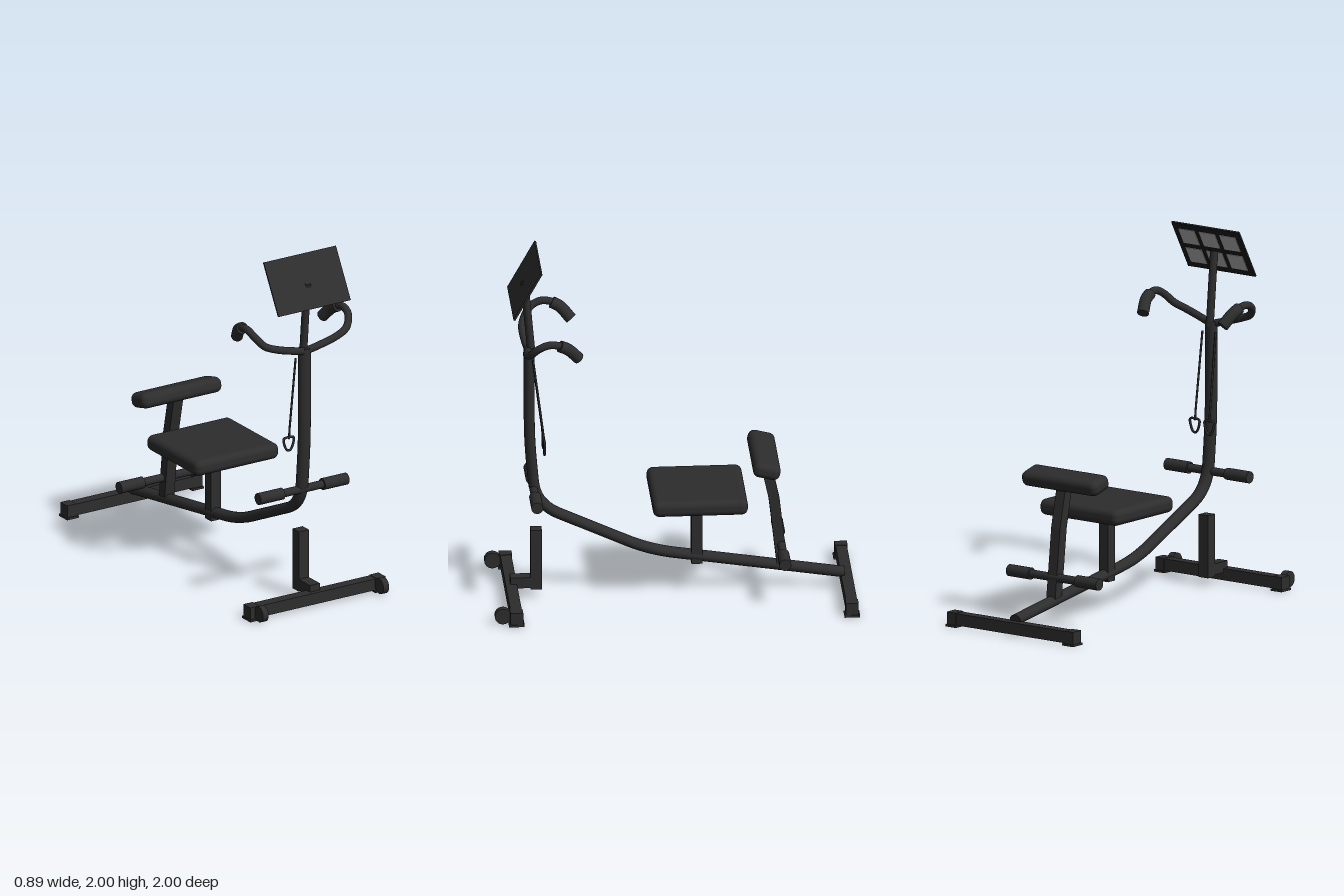
import * as THREE from 'three';
import { RoundedBoxGeometry } from 'three/addons/geometries/RoundedBoxGeometry.js';

const frameMat = new THREE.MeshStandardMaterial({ color: 0x2d2d2d });
frameMat.name = 'charcoal';
const blackMat = new THREE.MeshStandardMaterial({ color: 0x181818 });
blackMat.name = 'black';
const tileMat = new THREE.MeshStandardMaterial({ color: 0xb0b0b0 });
tileMat.name = 'light grey';

const V = (x, y, z) => new THREE.Vector3(x, y, z);

export function createModel() {
  const root = new THREE.Group();
  root.name = 'exerciseMachine';

  const add = (name, geo, x = 0, y = 0, z = 0, mat = frameMat, parent = root) => {
    const m = new THREE.Mesh(geo, mat);
    m.name = name;
    m.position.set(x, y, z);
    parent.add(m);
    return m;
  };
  const box = (name, w, h, d, x, y, z, mat, parent) =>
    add(name, new THREE.BoxGeometry(w, h, d), x, y, z, mat, parent);

  // straight runs joined by smooth bends
  const bentPath = (pts, bend) => {
    const path = new THREE.CurvePath();
    let from = pts[0];
    for (let i = 1; i < pts.length - 1; i++) {
      const p = pts[i];
      const cut = (q) => p.clone().add(q.clone().sub(p).setLength(Math.min(bend, p.distanceTo(q) * 0.48)));
      const a = cut(pts[i - 1]), b = cut(pts[i + 1]);
      path.add(new THREE.LineCurve3(from, a));
      path.add(new THREE.QuadraticBezierCurve3(a, p, b));
      from = b;
    }
    path.add(new THREE.LineCurve3(from, pts[pts.length - 1]));
    return path;
  };

  // capped tube along a path
  const tube = (name, path, r, segs = 60, sides = 16) => {
    const g = new THREE.Group();
    g.name = name;
    root.add(g);
    add(name + 'Wall', new THREE.TubeGeometry(path, segs, r, sides), 0, 0, 0, frameMat, g);
    for (const t of [0, 1]) {
      const p = path.getPointAt(t);
      const dir = path.getTangentAt(t).multiplyScalar(t ? 1 : -1);
      const cap = add(name + 'Cap', new THREE.CircleGeometry(r, sides), p.x, p.y, p.z, frameMat, g);
      cap.quaternion.setFromUnitVectors(V(0, 0, 1), dir);
    }
    return g;
  };

  // main frame: oval tube sweeping from the column down to the rear foot
  const spine = tube('mainFrame', bentPath([
    V(0, 1.47, 0.78), V(0, 0.93, 0.78), V(0, 0.54, 0.745), V(0, 0.25, 0.12), V(0, 0.085, -0.945),
  ], 0.14), 0.03, 120);
  spine.scale.x = 1.23;

  // upper mast
  tube('mast', new THREE.LineCurve3(V(0, 1.44, 0.768), V(0, 1.855, 0.806)), 0.022, 1);

  // tilted display board with a grid of light tiles on the rider's side
  const board = new THREE.Group();
  board.name = 'displayBoard';
  board.position.set(0, 1.866, 0.805);
  board.rotation.x = -0.507;
  root.add(board);
  box('boardPanel', 0.47, 0.309, 0.008, 0, 0, 0, frameMat, board);
  box('boardBack', 0.468, 0.307, 0.003, 0, 0, -0.005, blackMat, board);
  for (const col of [-1, 0, 1])
    for (const row of [-1, 1])
      box('boardTile', 0.112, 0.1, 0.003, col * 0.142, row * 0.066, -0.0075, tileMat, board);
  box('mountCap', 0.035, 0.012, 0.006, 0, -0.015, 0.005, frameMat, board);

  for (const s of [-1, 1]) {
    // handlebar and grip
    tube('handlebar', new THREE.CatmullRomCurve3([
      V(0, 1.45, 0.785), V(s * 0.1, 1.478, 0.8), V(s * 0.2, 1.508, 0.805), V(s * 0.265, 1.535, 0.79),
      V(s * 0.305, 1.585, 0.75), V(s * 0.315, 1.612, 0.69), V(s * 0.308, 1.595, 0.61), V(s * 0.28, 1.53, 0.54),
    ]), 0.021, 48);
    tube('grip', new THREE.CatmullRomCurve3([
      V(s * 0.311, 1.603, 0.635), V(s * 0.303, 1.58, 0.59), V(s * 0.277, 1.515, 0.53),
    ]), 0.033, 10);

    // pull cord with a triangular hand loop
    tube('pullCord', bentPath([
      V(s * 0.046, 1.41, 0.762), V(s * 0.05, 0.94, 0.702), V(s * 0.05, 0.92, 0.702),
    ], 0.02), 0.006, 8, 8);
    const loop = new THREE.CatmullRomCurve3([
      V(s * 0.02, 0.925, 0.7), V(s * 0.05, 0.93, 0.7), V(s * 0.082, 0.925, 0.7), V(s * 0.08, 0.895, 0.7),
      V(s * 0.06, 0.855, 0.7), V(s * 0.04, 0.855, 0.7), V(s * 0.02, 0.895, 0.7),
    ], true);
    add('handLoop', new THREE.TubeGeometry(loop, 36, 0.007, 8, true));
  }

  // cross bars with thick foam rollers
  for (const [name, y, z, half, inner] of [
    ['frontFootBar', 0.635, 0.757, 0.288, 0.13], ['rearFootBar', 0.265, -0.6, 0.313, 0.16],
  ]) {
    const bar = (n, len, r, x) =>
      add(n, new THREE.CylinderGeometry(r, r, len, 20), x, y, z).rotateZ(Math.PI / 2);
    bar(name, half * 1.9, 0.023, 0);
    for (const s of [-1, 1]) bar(name + 'Foam', half - inner, 0.033, s * (half + inner) / 2);
  }

  // seat
  add('seatPad', new RoundedBoxGeometry(0.545, 0.09, 0.52, 5, 0.036), 0, 0.59, -0.14);
  box('seatPlate', 0.26, 0.016, 0.27, 0, 0.542, -0.135);
  box('seatPost', 0.065, 0.37, 0.062, 0, 0.355, -0.137);

  // backrest on a slightly bent post
  add('backPad', new RoundedBoxGeometry(0.52, 0.086, 0.15, 5, 0.036), 0, 0.791, -0.505).rotation.x = -0.25;
  const strut = (name, y0, z0, y1, z1) => {
    const m = box(name, 0.062, Math.hypot(y1 - y0, z1 - z0), 0.058, 0, (y0 + y1) / 2, (z0 + z1) / 2);
    m.rotation.x = Math.atan2(z1 - z0, y1 - y0);
  };
  strut('backPostLower', 0.14, -0.605, 0.54, -0.56);
  strut('backPostUpper', 0.53, -0.562, 0.76, -0.512);

  // front stand: upright, connector and wheels
  box('standPost', 0.065, 0.35, 0.062, 0, 0.22, 0.743);
  box('standConnector', 0.065, 0.062, 0.17, 0, 0.086, 0.8);

  // floor beams with end feet
  for (const [name, z] of [['frontBeam', 0.88], ['rearBeam', -0.957]]) {
    box(name, 0.87, 0.066, 0.062, 0, 0.045, z);
    for (const s of [-1, 1]) {
      box(name + 'Foot', 0.075, 0.012, 0.085, s * 0.407, 0.006, z);
      box(name + 'EndCap', 0.06, 0.072, 0.07, s * 0.41, 0.045, z);
    }
  }
  for (const s of [-1, 1]) {
    box('wheelBracket', 0.03, 0.05, 0.07, s * 0.392, 0.05, 0.92);
    add('wheel', new THREE.CylinderGeometry(0.045, 0.045, 0.036, 28), s * 0.392, 0.05, 0.953).rotateZ(Math.PI / 2);
  }
  return root;
}
